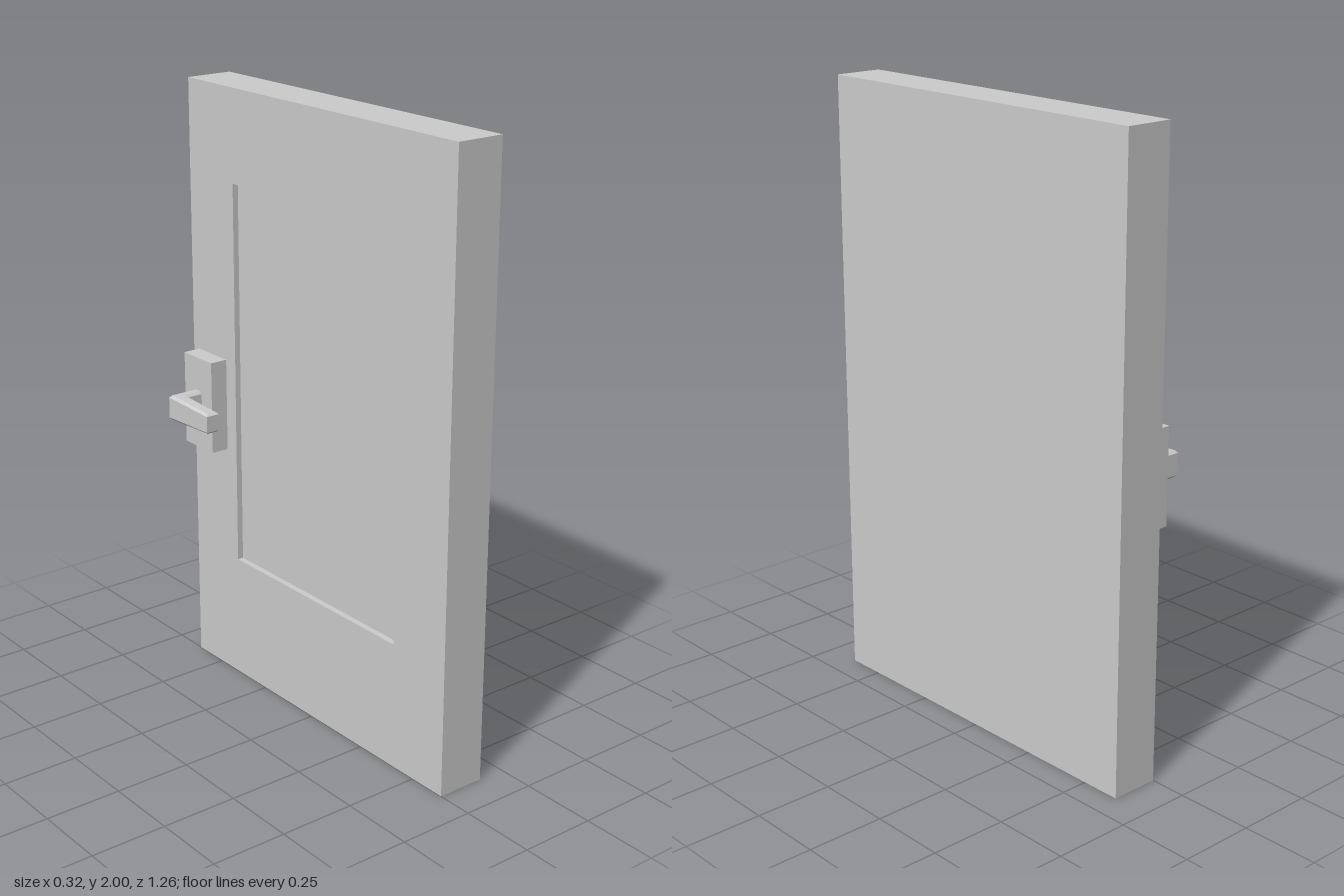
import * as THREE from 'three';

const grey = new THREE.MeshStandardMaterial({ color: 0xcccccc, flatShading: true });

function addPart(group, name, geometry, x = 0, y = 0, z = 0) {
  const mesh = new THREE.Mesh(geometry, grey);
  mesh.name = name;
  mesh.position.set(x, y, z);
  group.add(mesh);
}

export function createModel() {
  const door = new THREE.Group();
  door.name = 'door';
  const recess = 0.02, thick = 0.16, half = 0.63;

  // Solid core of the slab
  addPart(door, 'doorSlab', new THREE.BoxGeometry(thick - recess, 2, half * 2), (thick + recess) / 2, 1, 0);

  // Frame around the sunken panel, on the handle side
  const rect = (Type, a, b, w) => new Type([[-w, a], [w, a], [w, b], [-w, b]].map(p => new THREE.Vector2(...p)));
  const frame = rect(THREE.Shape, 0, 2, half);
  frame.holes.push(rect(THREE.Path, 0.42, 1.7, 0.4));
  const frameGeometry = new THREE.ExtrudeGeometry(frame, { depth: recess, bevelEnabled: false });
  frameGeometry.rotateY(-Math.PI / 2);
  addPart(door, 'panelFrame', frameGeometry, recess, 0, 0);

  // Backplate of the handle
  addPart(door, 'handlePlate', new THREE.BoxGeometry(0.06, 0.31, 0.15), -0.03, 0.955, -0.525);

  // L-shaped lever with chamfered edges, outlined in x and z
  const outline = [[-0.05, -0.545], [-0.05, -0.507], [-0.115, -0.507], [-0.115, -0.333], [-0.162, -0.333], [-0.162, -0.545]];
  const bevel = 0.008, height = 0.085;
  const lever = new THREE.ExtrudeGeometry(new THREE.Shape(outline.map(p => new THREE.Vector2(...p))), {
    depth: height - 2 * bevel, bevelThickness: bevel, bevelSize: bevel, bevelOffset: -bevel, bevelSegments: 1,
  });
  lever.rotateX(Math.PI / 2);
  lever.translate(0, height / 2 - bevel, 0);

  // Slim the grip gently towards its tip
  const p = lever.attributes.position;
  for (let i = 0; i < p.count; i++) {
    const t = THREE.MathUtils.clamp((p.getZ(i) + 0.5) / 0.167, 0, 1);
    p.setY(i, p.getY(i) * (1 - 0.22 * t));
  }
  lever.computeVertexNormals();
  addPart(door, 'handleLever', lever, 0, 0.955, 0);

  return door;
}
